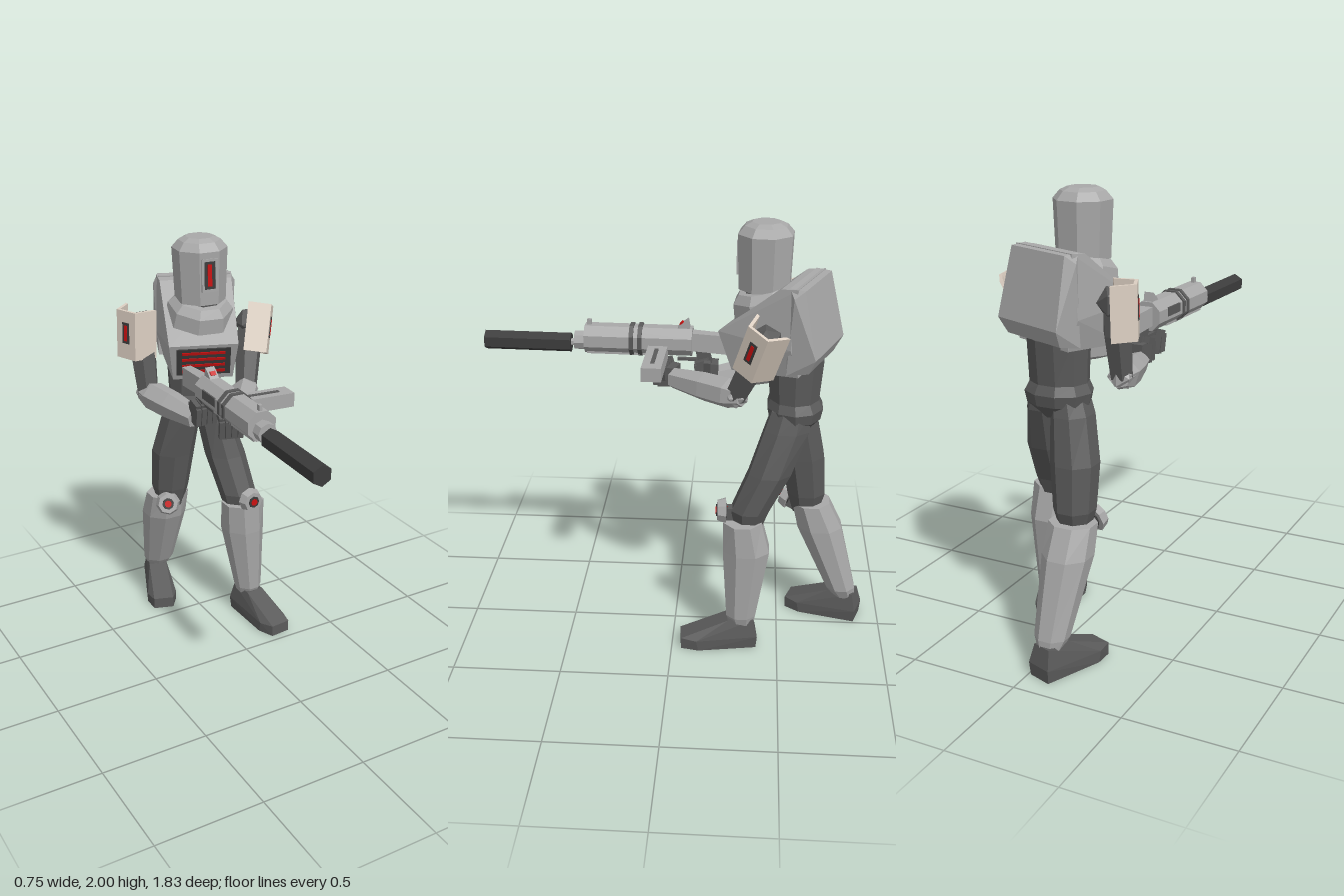
import * as THREE from 'three';
import { ConvexGeometry } from 'three/addons/geometries/ConvexGeometry.js';

const mat = (color) => new THREE.MeshStandardMaterial({ color, flatShading: true });
const GREY = mat(0xa8a8a8), DARK = mat(0x5a5a5a), BLACK = mat(0x3c3c3c), BEIGE = mat(0xdccfc2), RED = mat(0xcc1111);
const UP = new THREE.Vector3(0, 1, 0);
const vec = (a) => new THREE.Vector3(...a);

function add(parent, name, geometry, material, pos = [0, 0, 0], rot = [0, 0, 0]) {
  const mesh = new THREE.Mesh(geometry, material);
  mesh.name = name;
  mesh.position.set(...pos);
  mesh.rotation.set(...rot);
  parent.add(mesh);
  return mesh;
}

function addGroup(parent, name, pos = [0, 0, 0], rot = [0, 0, 0]) {
  const g = new THREE.Group();
  g.name = name;
  g.position.set(...pos);
  g.rotation.set(...rot);
  parent.add(g);
  return g;
}

const box = (w, h, d) => new THREE.BoxGeometry(w, h, d);

// Faceted solid through horizontal rings [x, y, z, halfWidth, halfDepth], bottom to top
function loft(rings, n = 8) {
  const k = 1 / Math.cos(Math.PI / n), p = [];
  const at = ([x, y, z, rx, rz], i) => {
    const a = ((i + 0.5) / n) * Math.PI * 2;
    return [x + Math.sin(a) * rx * k, y, z + Math.cos(a) * rz * k];
  };
  const first = rings[0], last = rings[rings.length - 1];
  for (let i = 0; i < n; i++) {
    for (let r = 0; r < rings.length - 1; r++) {
      const a = at(rings[r], i), b = at(rings[r], i + 1), c = at(rings[r + 1], i + 1), d = at(rings[r + 1], i);
      p.push(...a, ...b, ...c, ...a, ...c, ...d);
    }
    p.push(...last.slice(0, 3), ...at(last, i), ...at(last, i + 1));
    p.push(...first.slice(0, 3), ...at(first, i + 1), ...at(first, i));
  }
  const g = new THREE.BufferGeometry();
  g.setAttribute('position', new THREE.Float32BufferAttribute(p, 3));
  g.computeVertexNormals();
  return g;
}

// Tapered bar from a to b; profile rows are [fraction, radius]
function limb(parent, name, a, b, profile, material, n = 6) {
  const d = vec(b).sub(vec(a)), len = d.length();
  const mesh = add(parent, name, loft(profile.map(([t, r]) => [0, t * len, 0, r, r]), n), material, a);
  mesh.quaternion.setFromUnitVectors(UP, d.normalize());
  return mesh;
}

// Convex solid from half of its corners, mirrored across x
const mirrored = (pts) => new ConvexGeometry(pts.flatMap(([x, y, z]) => [vec([x, y, z]), vec([-x, y, z])]));

function buildHead(model) {
  add(model, 'neck', loft([[0, 1.58, -0.41, 0.085, 0.085], [-0.015, 1.74, -0.39, 0.085, 0.085]]), DARK);
  add(model, 'collar', loft([[0, -0.06, 0, 0.15, 0.15], [0, 0.01, 0, 0.14, 0.14], [0, 0.045, 0, 0.11, 0.11]]),
    GREY, [-0.015, 1.665, -0.40], [0.25, -0.1, 0]);
  const head = addGroup(model, 'head', [-0.018, 0, -0.392], [0, -0.1, 0]);
  add(head, 'helmet', loft([[0, 1.705, 0, 0.108, 0.11], [0, 1.95, 0, 0.118, 0.118], [0, 1.985, 0, 0.09, 0.09], [0, 2, 0, 0.06, 0.06]]), GREY);
  // Eye slot with a raised frame
  for (const s of [-1, 1]) {
    add(head, 'eyeFrameSide', box(0.012, 0.15, 0.016), GREY, [s * 0.033, 1.845, 0.114]);
    add(head, 'eyeFrameEnd', box(0.066, 0.012, 0.016), GREY, [0, 1.845 + s * 0.07, 0.114]);
  }
  add(head, 'eyeSlot', box(0.056, 0.13, 0.01), BLACK, [0, 1.845, 0.113]);
  add(head, 'eye', box(0.02, 0.1, 0.01), RED, [0, 1.845, 0.117]);
}

function buildTorso(model) {
  const torso = addGroup(model, 'torso', [0.005, 0, -0.465], [0, -0.37, 0]);
  add(torso, 'chest', mirrored([[0.16, 1.53, 0.23], [0.14, 1.35, 0.17], [0.16, 1.37, -0.15],
    [0.18, 1.77, -0.14], [0.17, 1.76, -0.06], [0.19, 1.5, -0.12]]), GREY);
  add(torso, 'backpack', mirrored([[0.17, 1.77, -0.1], [0.17, 1.765, -0.17], [0.195, 1.73, -0.13],
    [0.19, 1.47, -0.235], [0.17, 1.40, -0.2], [0.18, 1.38, -0.1]]), GREY);
  // Glowing chest vents
  const vents = addGroup(torso, 'chestVents', [0, 1.445, 0.203], [0.32, 0, 0]);
  add(vents, 'ventPanel', box(0.25, 0.145, 0.012), BLACK);
  for (let i = 0; i < 4; i++) add(vents, 'ventGlow', box(0.2, 0.014, 0.01), RED, [0, 0.05 - i * 0.034, 0.004]);
  // Waist and hips
  add(model, 'waist', loft([[0.02, 1.06, -0.54, 0.07, 0.07], [0.02, 1.12, -0.545, 0.135, 0.115], [0.02, 1.17, -0.545, 0.145, 0.125],
    [0.02, 1.21, -0.54, 0.125, 0.11], [0.02, 1.4, -0.54, 0.13, 0.125]], 10), DARK);
}

function buildLeg(model, side, { thigh, shin, knee, kneeRot, foot, yaw }) {
  const leg = addGroup(model, side + 'Leg');
  add(leg, 'thigh', loft(thigh), DARK);
  add(leg, 'shin', loft(shin), GREY);
  // Knee disc
  const cap = addGroup(leg, 'kneeCap', knee, kneeRot);
  const disc = (r, h) => new THREE.CylinderGeometry(r * 0.8, r, h, 8).rotateX(Math.PI / 2);
  add(cap, 'kneeDisc', disc(0.062, 0.04), GREY);
  add(cap, 'kneeRing', disc(0.036, 0.05), BLACK);
  add(cap, 'kneeLight', disc(0.022, 0.056), RED);
  add(cap, 'kneeBracket', box(0.05, 0.06, 0.08), DARK, [0, -0.01, -0.05]);
  add(leg, 'foot', mirrored([[0.055, 0, -0.175], [0.075, 0, 0.1], [0.05, 0, 0.18], [0.05, 0.055, 0.18], [0.075, 0.05, 0.11],
    [0.06, 0.06, -0.18], [0.045, 0.145, -0.16], [0.045, 0.145, -0.04], [0.05, 0.085, 0.1]]), DARK, foot, [0, yaw, 0]);
}

// Curved plate with a glowing slot, bulging toward local +x
function buildPad(parent, name, pos, axis, yaw) {
  const arc = (r) => [-105, -35, 35, 105].map((d) => {
    const a = THREE.MathUtils.degToRad(d);
    return new THREE.Vector2(Math.cos(a) * r, Math.sin(a) * r);
  });
  const shape = new THREE.Shape([...arc(0.098), ...arc(0.08).reverse()]);
  const pad = addGroup(parent, name, pos);
  pad.quaternion.setFromUnitVectors(UP, vec(axis).normalize())
    .multiply(new THREE.Quaternion().setFromAxisAngle(UP, yaw));
  const plate = new THREE.ExtrudeGeometry(shape, { depth: 0.23, bevelEnabled: false }).translate(0, 0, -0.115).rotateX(-Math.PI / 2);
  add(pad, 'padPlate', plate, BEIGE);
  add(pad, 'padSlot', box(0.008, 0.1, 0.04), BLACK, [0.079, 0.01, 0]);
  add(pad, 'padLight', box(0.008, 0.075, 0.018), RED, [0.081, 0.01, 0]);
}

function buildArm(model, side, { shoulder, elbow, wrist, pad, axis, yaw }) {
  const arm = addGroup(model, side + 'Arm');
  add(arm, 'shoulderJoint', new THREE.IcosahedronGeometry(0.075, 0), DARK, shoulder);
  limb(arm, 'upperArm', shoulder, elbow, [[0, 0.045], [0.4, 0.055], [1, 0.045]], DARK);
  add(arm, 'elbowJoint', new THREE.IcosahedronGeometry(0.06, 0), GREY, elbow);
  limb(arm, 'forearm', elbow, wrist, [[-0.1, 0.04], [0.12, 0.06], [0.5, 0.058], [1, 0.042]], GREY);
  buildPad(arm, 'shoulderPad', pad, axis, yaw);
}

function buildHand(model, name, pos, rot) {
  const hand = addGroup(model, name, pos, rot);
  add(hand, 'palm', mirrored([[0.04, 0.045, -0.05], [0.05, 0.05, 0.03], [0.05, -0.05, 0.03], [0.035, -0.045, -0.05]]), DARK);
  for (let i = 0; i < 4; i++) {
    const x = -0.042 + i * 0.028;
    add(hand, 'fingerKnuckle', box(0.024, 0.085, 0.03), DARK, [x, 0, 0.04], [0.15, 0, 0]);
    add(hand, 'fingerTip', box(0.024, 0.03, 0.06), DARK, [x, 0.05, 0.02], [0.3, 0, 0]);
  }
  add(hand, 'thumb', box(0.026, 0.08, 0.03), DARK, [0.06, 0.03, 0], [0, 0, -0.25]);
}

function buildGun(model) {
  const gun = addGroup(model, 'rifle', [-0.16, 1.4, 0], [0, -0.035, 0]);
  const rod = (r, z0, z1, n) => new THREE.CylinderGeometry(r, r, z1 - z0, n).rotateX(Math.PI / 2).translate(0, 0, (z0 + z1) / 2);
  add(gun, 'receiver', rod(0.07, -0.07, 0.43, 8).rotateZ(Math.PI / 8), GREY);
  add(gun, 'underRail', box(0.07, 0.03, 0.36), GREY, [0, -0.052, 0.24]);
  for (const z of [0.17, 0.21]) add(gun, 'band', rod(0.077, z - 0.01, z + 0.01, 8).rotateZ(Math.PI / 8), DARK);
  add(gun, 'barrelCollar', rod(0.045, 0.42, 0.48, 8), GREY, [0, -0.015, 0]);
  add(gun, 'barrel', rod(0.018, 0.47, 0.52, 6), GREY, [0, -0.025, 0]);
  add(gun, 'suppressor', rod(0.046, 0.498, 0.905, 6), BLACK, [0, -0.028, 0]);
  add(gun, 'frontSight', box(0.015, 0.035, 0.02), GREY, [0, 0.072, 0.41]);
  add(gun, 'rearSight', mirrored([[0.022, 0.05, -0.06], [0.022, 0.05, 0.01], [0.022, 0.105, -0.05], [0.022, 0.08, -0.015]]), GREY);
  add(gun, 'sightLight', box(0.026, 0.02, 0.012), RED, [0, 0.083, -0.02], [-0.7, 0, 0]);
  add(gun, 'sidePort', box(0.01, 0.04, 0.12), DARK, [-0.064, 0.01, 0.07]);
  // Stock and grip
  add(gun, 'stock', mirrored([[0.03, 0.045, -0.06], [0.03, -0.04, -0.06], [0.022, 0.03, -0.29], [0.022, -0.06, -0.29]]), GREY);
  add(gun, 'grip', box(0.04, 0.16, 0.06), DARK, [0, -0.1, -0.13], [0.25, 0, 0]);
  add(gun, 'triggerGuard', box(0.02, 0.012, 0.1), DARK, [0, -0.09, -0.05]);
  // Magazine fed from the side
  add(gun, 'magazine', box(0.29, 0.065, 0.09), GREY, [0.185, -0.045, 0.085], [0, 0, -0.03]);
  add(gun, 'magazineSlot', box(0.17, 0.008, 0.018), DARK, [0.19, -0.013, 0.085], [0, 0, -0.03]);
}

export function createModel() {
  const model = new THREE.Group();
  model.name = 'armouredRobot';
  buildHead(model);
  buildTorso(model);
  buildLeg(model, 'left', {
    thigh: [[0.15, 0.6, -0.345, 0.06, 0.06], [0.15, 0.7, -0.355, 0.085, 0.085], [0.13, 0.88, -0.44, 0.092, 0.095],
      [0.1, 1.08, -0.51, 0.075, 0.1], [0.09, 1.17, -0.53, 0.06, 0.09]],
    shin: [[0.195, 0.12, -0.33, 0.05, 0.055], [0.195, 0.16, -0.325, 0.062, 0.068], [0.172, 0.5, -0.342, 0.098, 0.107], [0.165, 0.65, -0.322, 0.1, 0.088]],
    knee: [0.16, 0.69, -0.225], kneeRot: [0, 0.05, 0], foot: [0.205, 0, -0.22], yaw: 0.1,
  });
  buildLeg(model, 'right', {
    thigh: [[-0.09, 0.58, -0.62, 0.06, 0.06], [-0.09, 0.68, -0.62, 0.085, 0.088], [-0.08, 0.88, -0.595, 0.098, 0.1],
      [-0.05, 1.08, -0.555, 0.085, 0.1], [-0.03, 1.17, -0.54, 0.07, 0.09]],
    shin: [[-0.08, 0.12, -0.83, 0.05, 0.05], [-0.08, 0.17, -0.81, 0.072, 0.068], [-0.095, 0.5, -0.692, 0.103, 0.105], [-0.095, 0.63, -0.645, 0.1, 0.088]],
    knee: [-0.15, 0.62, -0.53], kneeRot: [-0.35, -0.4, 0], foot: [-0.12, 0, -0.73], yaw: -0.33,
  });
  buildArm(model, 'left', {
    shoulder: [0.25, 1.55, -0.40], elbow: [0.16, 1.265, -0.28], wrist: [-0.05, 1.255, 0.01],
    pad: [0.262, 1.52, -0.385], axis: [0.31, 1, -0.3], yaw: -0.65,
  });
  buildArm(model, 'right', {
    shoulder: [-0.25, 1.57, -0.56], elbow: [-0.25, 1.25, -0.5], wrist: [-0.17, 1.22, -0.17],
    pad: [-0.265, 1.54, -0.56], axis: [0.03, 1, 0], yaw: Math.PI + 0.4,
  });
  buildHand(model, 'leftHand', [-0.115, 1.25, 0.045], [0, -0.3, 0]);
  buildHand(model, 'rightHand', [-0.155, 1.255, -0.14], [0, 0, 0]);
  buildGun(model);
  return model;
}
